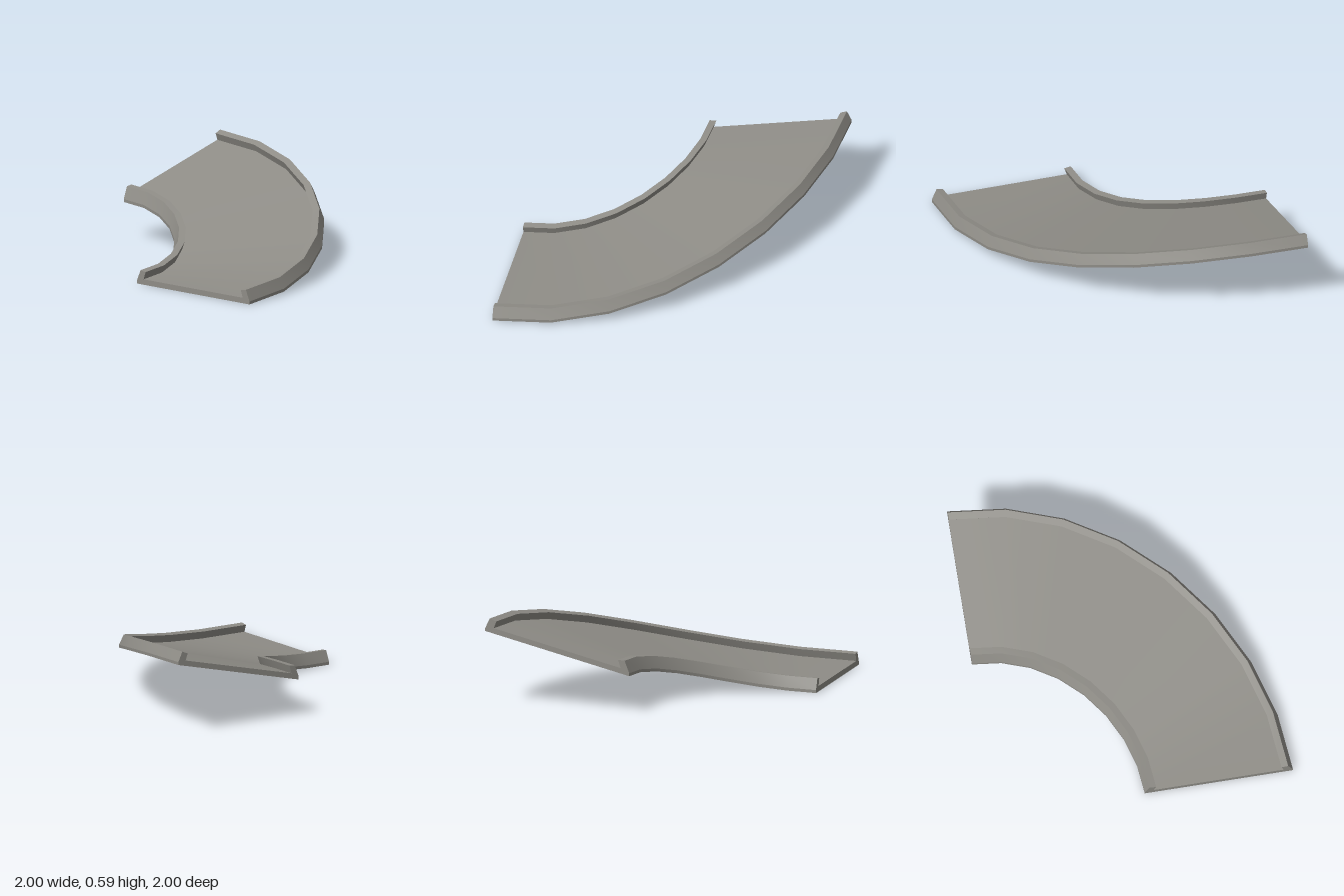
import * as THREE from 'three';
import { toCreasedNormals } from 'three/addons/utils/BufferGeometryUtils.js';

const SEGMENTS = 8;
const RISE = 0.25; // climb per unit of radius over the quarter turn

// Point of the ramp: s runs from the inner (0) to the outer (1) edge, t along the turn
function place(s, h, t) {
  const a = t * Math.PI / 2;
  const r = 1 + s;
  return [-1 + r * Math.cos(a), h + RISE * r * Math.sin(a) ** 2, 1 - r * Math.sin(a)];
}

// Sweep a counter-clockwise cross-section along the turn; hidden edges are left out
function sweep(profile, hidden) {
  const pos = [];
  const put = (...corners) => corners.forEach(([p, t]) => pos.push(...place(p[0], p[1], t)));
  for (let i = 0; i < SEGMENTS; i++) {
    const t0 = i / SEGMENTS;
    const t1 = (i + 1) / SEGMENTS;
    profile.forEach((p, k) => {
      if (hidden.includes(k)) return;
      const q = profile[(k + 1) % profile.length];
      put([p, t0], [p, t1], [q, t0], [q, t0], [p, t1], [q, t1]);
    });
  }
  // End caps
  const outline = profile.map(([s, h]) => new THREE.Vector2(s, h));
  for (const [a, b, c] of THREE.ShapeUtils.triangulateShape(outline, [])) {
    put([profile[a], 0], [profile[b], 0], [profile[c], 0]);
    put([profile[a], 1], [profile[c], 1], [profile[b], 1]);
  }
  const geometry = new THREE.BufferGeometry();
  geometry.setAttribute('position', new THREE.Float32BufferAttribute(pos, 3));
  return toCreasedNormals(geometry, Math.PI / 7);
}

export function createModel() {
  const group = new THREE.Group();
  group.name = 'curvedRamp';
  const concrete = new THREE.MeshStandardMaterial({ color: 0x8f8d87 });
  concrete.name = 'concrete grey';

  const add = (name, profile, hidden) => {
    const mesh = new THREE.Mesh(sweep(profile, hidden), concrete);
    mesh.name = name;
    group.add(mesh);
  };

  // Road slab, with seats for the kerbs at both edges
  add('roadSlab', [[0, 0], [1, 0], [1, 0.02], [0.94, 0.037], [0.06, 0.037], [0, 0.02]], [2, 4]);

  // Kerbs that lean in over the road
  const kerb = [[0, 0.02], [0.06, 0.037], [0.077, 0.088], [0.032, 0.095]];
  add('innerKerb', kerb, [0]);
  add('outerKerb', kerb.map(([s, h]) => [1 - s, h]).reverse(), [2]);

  return group;
}
